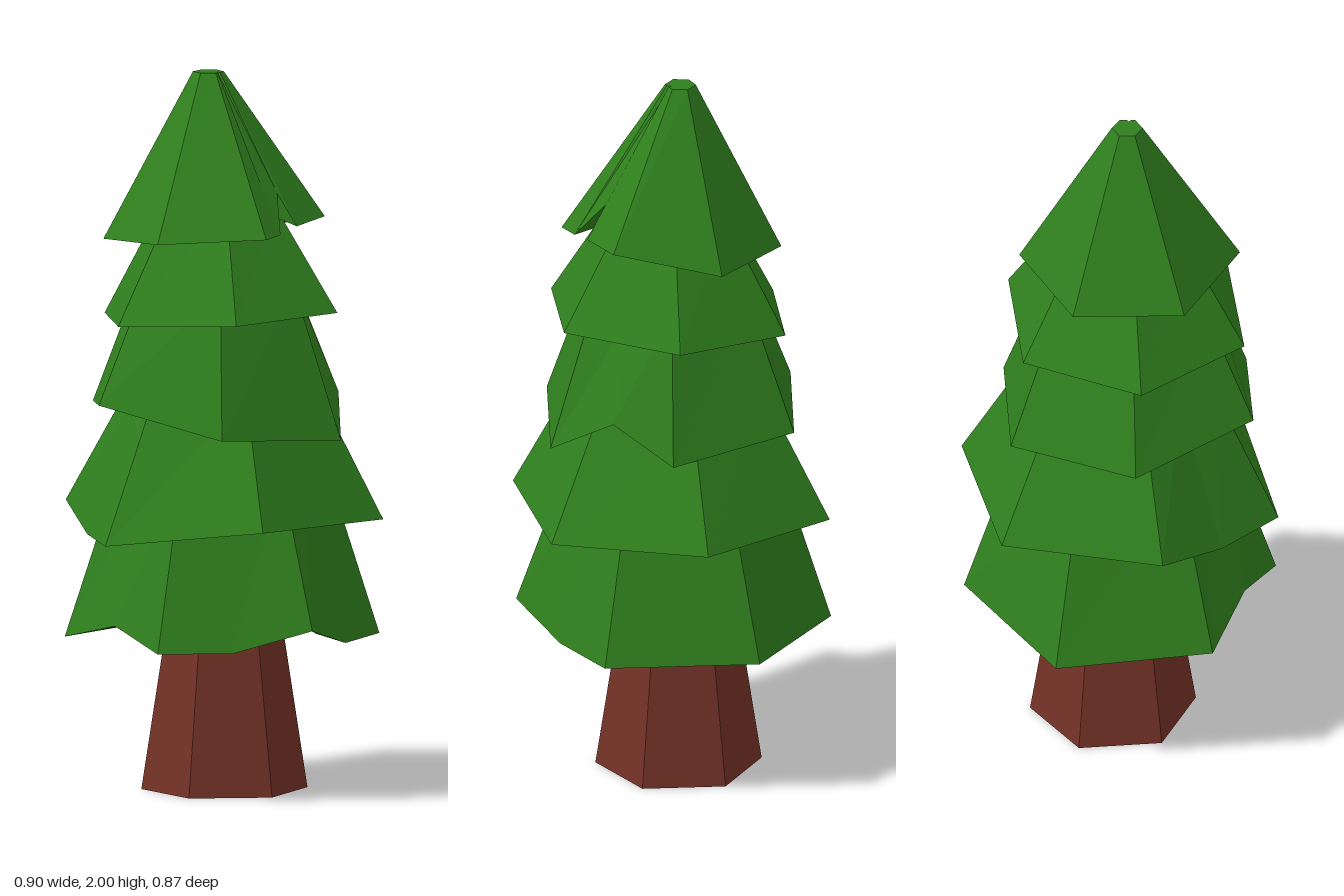
import * as THREE from 'three';

const green = new THREE.MeshStandardMaterial({ color: 0x2f7f1d, flatShading: true });
const brown = new THREE.MeshStandardMaterial({ color: 0x733226, flatShading: true });

// Rim corners [x, y, z] run back, right, front, left.
// top: height of the upper ring, k: its size relative to the rim.
const TIERS = [
  { name: 'branchTier1', top: 0.92, k: 0.64, centre: [0, 0], rim: [
    [0, 0.43, -0.435], [0.37, 0.43, -0.22], [0.37, 0.43, 0], [0.37, 0.49, 0.215], [0.18, 0.43, 0.325],
    [0, 0.43, 0.43], [-0.18, 0.485, 0.325], [-0.385, 0.43, 0.215], [-0.385, 0.41, -0.22]] },
  { name: 'branchTier2', top: 1.13, k: 0.58, centre: [0, 0], rim: [
    [0.165, 0.785, -0.425], [0.45, 0.77, -0.075], [0.285, 0.775, 0.355],
    [-0.165, 0.72, 0.42], [-0.3, 0.725, 0.25], [-0.45, 0.79, 0.07], [-0.285, 0.77, -0.36]] },
  { name: 'branchTier3', top: 1.42, k: 0.62, centre: [-0.01, 0.02], rim: [
    [-0.19, 1.04, -0.325], [0.2, 1.02, -0.305], [0.285, 1.11, -0.135], [0.375, 1.0, 0.04],
    [0.165, 1.025, 0.365], [-0.22, 1.1, 0.345], [-0.4, 1.06, 0]] },
  { name: 'branchTier4', top: 1.64, k: 0.47, centre: [-0.01, 0.015], rim: [
    [-0.185, 1.32, -0.29], [0.17, 1.345, -0.295], [0.35, 1.35, 0.01],
    [0.185, 1.34, 0.315], [-0.17, 1.32, 0.325], [-0.355, 1.31, 0.02]] },
  // Top tier with a small split in its right side
  { name: 'branchTier5', top: 2, k: 0.14, centre: [-0.045, 0.012], rim: [
    [0.02, 1.54, -0.28], [0.26, 1.6, -0.1], [0.245, 1.59, 0.05], [0.185, 1.68, 0.05], [0.233, 1.575, 0.13],
    [0.225, 1.57, 0.205], [-0.05, 1.555, 0.325], [-0.3, 1.535, 0.145], [-0.26, 1.525, -0.16]] },
];

// Hollow skirt: inner wall, lip, outer slope and top cap joined ring by ring
function tierGeometry({ rim, top, k, centre: [cx, cz] }) {
  const low = Math.min(...rim.map((p) => p[1]));
  const ring = (scale, height) => rim.map(([x, y, z]) =>
    [cx + (x - cx) * scale, height(y), cz + (z - cz) * scale]);
  const rings = [
    ring(0, () => low + 0.2),
    ring(Math.min(0.5, k), () => low + 0.2),
    ring(0.76, (y) => y + 0.02),
    rim,
    ring(k, () => top),
    ring(0, () => top),
  ];
  const positions = [];
  for (let r = 0; r < rings.length - 1; r++) {
    for (let i = 0; i < rim.length; i++) {
      const j = (i + 1) % rim.length;
      const a = rings[r][i], b = rings[r][j], A = rings[r + 1][i], B = rings[r + 1][j];
      if (r > 0) positions.push(...a, ...A, ...b);
      if (r === 0) positions.push(...a, ...A, ...B);
      else if (r < rings.length - 2) positions.push(...b, ...A, ...B);
    }
  }
  const geometry = new THREE.BufferGeometry();
  geometry.setAttribute('position', new THREE.Float32BufferAttribute(positions, 3));
  geometry.computeVertexNormals();
  return geometry;
}

export function createModel() {
  const tree = new THREE.Group();
  tree.name = 'pineTree';

  // Tapered six-sided trunk
  const trunk = new THREE.Mesh(new THREE.CylinderGeometry(0.123, 0.23, 0.7, 6), brown);
  trunk.name = 'trunk';
  trunk.position.set(-0.01, 0.35, -0.023);
  tree.add(trunk);

  // Stacked branch tiers
  for (const tier of TIERS) {
    const mesh = new THREE.Mesh(tierGeometry(tier), green);
    mesh.name = tier.name;
    tree.add(mesh);
  }
  return tree;
}
